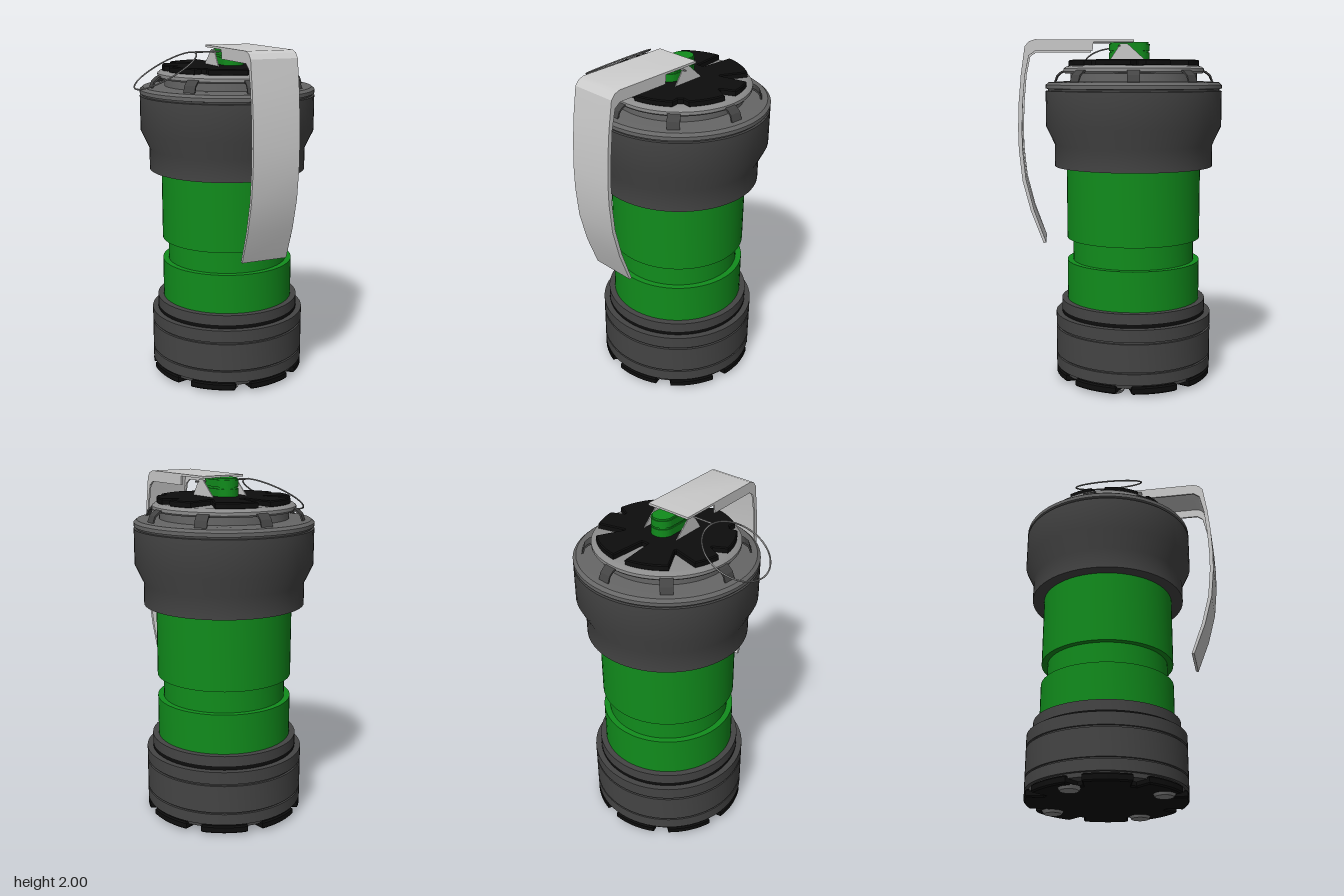
import * as THREE from 'three';
import { toCreasedNormals } from 'three/addons/utils/BufferGeometryUtils.js';

const mat = (color, side = THREE.FrontSide) => new THREE.MeshStandardMaterial({ color, side });
const GREEN = mat(0x118c1c), DARK = mat(0x444444), BLACK = mat(0x0d0d0d);
const MID = mat(0x666666), RING = mat(0x8c8c8c), STEEL = mat(0xcccccc, THREE.DoubleSide);
const V2 = (p) => new THREE.Vector2(p[0], p[1]);

function add(parent, name, geometry, material, x = 0, y = 0, z = 0) {
  const mesh = new THREE.Mesh(geometry, material);
  mesh.name = name;
  mesh.position.set(x, y, z);
  parent.add(mesh);
  return mesh;
}

// Turned part from [radius, height] pairs, listed from bottom to top
const turned = (points) => toCreasedNormals(new THREE.LatheGeometry(points.map(V2), 64), 0.5);

// Disc with radial notches: [angle from the back, tip radius, tip half width, half angle]
function notchedDisc(radius, height, notches, bevel) {
  const shape = new THREE.Shape();
  const polar = (r, a) => [r * Math.sin(a), r * Math.cos(a)];
  notches.forEach(([a, tip, w, half], i) => {
    const next = notches[(i + 1) % notches.length];
    const end = next[0] - next[3] + (i === notches.length - 1 ? 2 * Math.PI : 0);
    const start = polar(radius, a - half);
    if (i === 0) shape.moveTo(...start);
    shape.lineTo(...polar(tip, a - w / tip));
    shape.lineTo(...polar(tip, a + w / tip));
    for (let k = 0; k <= 8; k++) {
      shape.lineTo(...polar(radius, a + half + (end - a - half) * k / 8));
    }
  });
  return new THREE.ExtrudeGeometry(shape, {
    depth: height - 2 * bevel, bevelSize: bevel, bevelThickness: bevel,
    bevelOffset: -bevel, bevelSegments: 1,
  }).rotateX(-Math.PI / 2).translate(0, bevel, 0);
}

// Side outline of [z, y] pairs, extruded across x and centred on it
function sideExtrude(points, width) {
  return new THREE.ExtrudeGeometry(new THREE.Shape(points.map(V2)), {
    depth: width, bevelEnabled: false,
  }).rotateY(-Math.PI / 2).translate(width / 2, 0, 0);
}

export function createModel() {
  const model = new THREE.Group();
  model.name = 'canister';
  const body = new THREE.Group();
  body.name = 'body';
  body.position.set(0.035, 0, -0.08);
  model.add(body);

  // Base cap with its two grooves
  add(body, 'baseCap', turned([
    [0, 0.045], [0.445, 0.045], [0.445, 0.07], [0.465, 0.07], [0.465, 0.135], [0.452, 0.135],
    [0.452, 0.145], [0.465, 0.145], [0.465, 0.308], [0.452, 0.308], [0.452, 0.32],
    [0.465, 0.32], [0.465, 0.393], [0.41, 0.393],
  ]), DARK);
  add(body, 'baseSeal', turned([[0.4, 0.39], [0.43, 0.39], [0.43, 0.415], [0.4, 0.415]]), BLACK);
  add(body, 'baseCollar', turned([[0.4, 0.415], [0.43, 0.415], [0.43, 0.475], [0.38, 0.475]]), DARK);

  // Notched base plate with four bolts
  const baseNotches = [];
  for (let i = 0; i < 8; i++) baseNotches.push([i * Math.PI / 4 + 0.2, 0.37, 0.015, 0.1]);
  add(body, 'basePlate', notchedDisc(0.465, 0.045, baseNotches, 0.008), BLACK, 0, 0.015, 0);
  for (let i = 0; i < 4; i++) {
    const a = i * Math.PI / 2 + 0.38;
    add(body, 'baseBolt', new THREE.CylinderGeometry(0.065, 0.052, 0.02, 20), RING,
      0.37 * Math.sin(a), 0.01, -0.37 * Math.cos(a));
  }

  // Green tube with its waist
  add(body, 'tube', turned([
    [0.36, 0.47], [0.395, 0.47], [0.395, 0.71], [0.36, 0.71], [0.36, 0.845],
    [0.395, 0.845], [0.395, 1.29],
  ]), GREEN);

  // Flared head
  add(body, 'head', turned([
    [0.38, 1.272], [0.465, 1.272], [0.465, 1.4], [0.515, 1.505], [0.515, 1.71],
    [0.502, 1.712], [0.502, 1.722],
  ]), DARK);
  add(body, 'headRim', turned([
    [0.502, 1.722], [0.515, 1.724], [0.515, 1.745], [0.497, 1.76], [0.43, 1.765], [0.37, 1.765],
    [0.37, 1.815],
  ]), MID);
  add(body, 'topRing', turned([
    [0.36, 1.81], [0.4, 1.81], [0.41, 1.82], [0.41, 1.838], [0.395, 1.85], [0.375, 1.855], [0, 1.86],
  ]), RING);

  // Notched top plate, notches deepest at the back
  const D = Math.PI / 180;
  const half = [[0, 0.18, 0.02, 0.105], [52 * D, 0.228, 0.004, 0.18],
    [91 * D, 0.305, 0.004, 0.11], [135 * D, 0.345, 0.015, 0.11], [180 * D, 0.36, 0.015, 0.1]];
  const mirrored = half.slice(1, 4).reverse().map(([a, ...rest]) => [2 * Math.PI - a, ...rest]);
  add(body, 'topPlate', notchedDisc(0.382, 0.037, [...half, ...mirrored], 0.006), BLACK, 0, 1.85, 0);

  // Curved clips around the head
  const clipShape = new THREE.Shape([
    [0.39, 1.835], [0.425, 1.822], [0.45, 1.8], [0.464, 1.762], [0.456, 1.762], [0.442, 1.795],
    [0.42, 1.813], [0.39, 1.824],
  ].map(V2));
  const clip = new THREE.ExtrudeGeometry(clipShape, { depth: 0.07, bevelEnabled: false })
    .translate(0, 0, -0.035);
  for (let i = 0; i < 8; i++) {
    add(body, 'headClip', clip, DARK).rotation.y = Math.PI / 2 - (5 + 45 * i) * D;
  }

  // Oblong green fuse with a groove at mid height
  const oblong = (r, h) => {
    const s = new THREE.Shape();
    s.absarc(0, 0.11, r, 0, Math.PI, false);
    s.absarc(0, 0, r, Math.PI, 2 * Math.PI, false);
    return toCreasedNormals(new THREE.ExtrudeGeometry(s, {
      depth: h, bevelEnabled: false, curveSegments: 20,
    }).rotateX(-Math.PI / 2), 0.5);
  };
  [[0.064, 1.87, 0.06], [0.058, 1.93, 0.01], [0.064, 1.94, 0.04], [0.058, 1.98, 0.01]]
    .forEach(([r, y, h]) => add(model, 'fuse', oblong(r, h), GREEN, 0.035, y, 0));

  // Lever: curved plate with a flange along each side
  const outer = [[-0.07, 2], [0.49, 2], [0.525, 1.988], [0.548, 1.96], [0.572, 1.8], [0.586, 1.65],
    [0.592, 1.5], [0.59, 1.38], [0.572, 1.2], [0.526, 1.02], [0.455, 0.832]];
  const thin = [[0.44, 0.836], [0.513, 1.025], [0.559, 1.203], [0.577, 1.38], [0.579, 1.5],
    [0.573, 1.65], [0.559, 1.8], [0.535, 1.957], [0.516, 1.978], [0.488, 1.987], [-0.07, 1.987]];
  const flange = [[0.44, 0.836], [0.508, 1.027], [0.552, 1.205], [0.569, 1.38], [0.57, 1.5],
    [0.563, 1.65], [0.549, 1.8], [0.525, 1.91], [0.49, 1.935], [0.165, 1.935], [0.16, 1.987],
    [-0.07, 1.987]];
  const lever = new THREE.Group();
  lever.name = 'lever';
  lever.position.x = 0.033;
  model.add(lever);
  add(lever, 'leverPlate', toCreasedNormals(sideExtrude([...outer, ...thin], 0.274), 0.45), STEEL);
  for (const side of [-1, 1]) {
    add(lever, 'leverFlange', sideExtrude([...outer, ...flange], 0.01), STEEL, side * 0.132);
    // Triangular bracket holding the lever pivot
    add(lever, 'pivotBracket', sideExtrude([
      [0.07, 1.88], [0.005, 1.978], [-0.035, 1.978], [-0.145, 1.88],
    ], 0.006), STEEL, side * 0.113);
  }

  // Pull pin through the brackets, with its tilted ring
  const pin = new THREE.CylinderGeometry(0.005, 0.005, 0.37, 8).rotateZ(Math.PI / 2);
  add(model, 'pin', pin, RING, -0.015, 1.966, 0.01);
  const ring = add(model, 'pullRing', new THREE.TorusGeometry(0.198, 0.0045, 8, 64)
    .rotateX(Math.PI / 2), RING, -0.377, 1.868, -0.002);
  ring.rotation.z = 0.51;

  return model;
}
